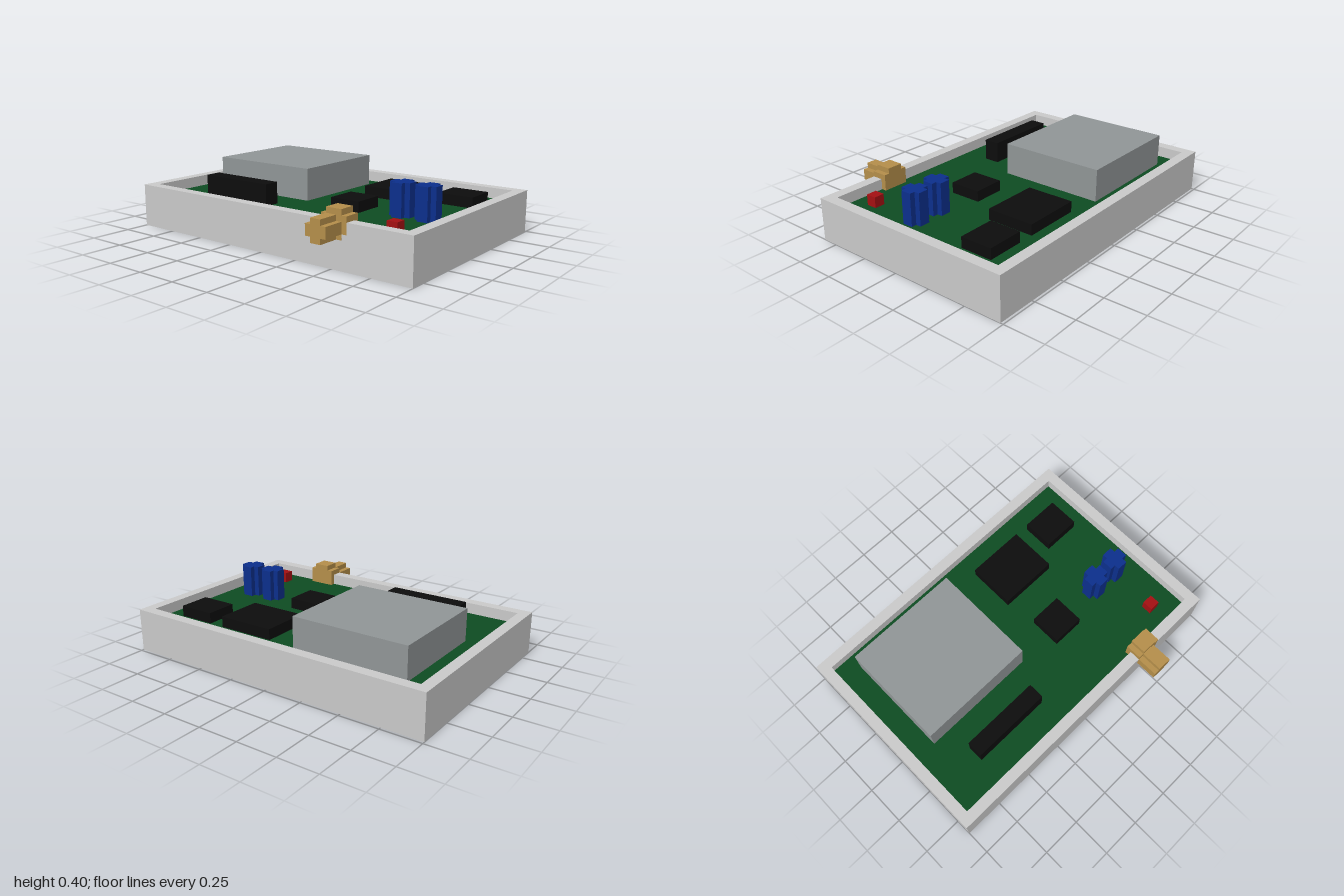
import * as THREE from 'three';

const U = 1 / 30; // one grid cell

const mat = (name, color) => {
  const m = new THREE.MeshStandardMaterial({ color });
  m.name = name;
  return m;
};

export function createModel() {
  const group = new THREE.Group();
  const casing = mat('light grey casing', 0xc9c9c9);
  const green = mat('board green', 0x0e4b22);
  const metal = mat('shield grey', 0x909596);
  const black = mat('chip black', 0x0d0d0d);
  const blue = mat('capacitor blue', 0x0c2f8c);
  const gold = mat('connector gold', 0xb48e4a);
  const red = mat('indicator red', 0xa31012);

  const add = (name, geometry, material) => {
    const mesh = new THREE.Mesh(geometry, material);
    mesh.name = name;
    group.add(mesh);
    return mesh;
  };

  // Box given by its opposite corners, in grid cells
  const box = (name, material, [x0, y0, z0], [x1, y1, z1]) => {
    const g = new THREE.BoxGeometry((x1 - x0) * U, (y1 - y0) * U, (z1 - z0) * U);
    g.translate((x0 + x1) / 2 * U, (y0 + y1) / 2 * U, (z0 + z1) / 2 * U);
    return add(name, g, material);
  };

  const shapeOf = pts => new THREE.Shape(pts.map(([x, y]) => new THREE.Vector2(x * U, y * U)));
  const rect = (x0, y0, x1, y1) => [[x0, y0], [x1, y0], [x1, y1], [x0, y1]];
  // Square with its corners notched by one cell: a blocky disc
  const disc = (x, y, s) => [
    [x + 1, y], [x + s - 1, y], [x + s - 1, y + 1], [x + s, y + 1],
    [x + s, y + s - 1], [x + s - 1, y + s - 1], [x + s - 1, y + s], [x + 1, y + s],
    [x + 1, y + s - 1], [x, y + s - 1], [x, y + 1], [x + 1, y + 1],
  ];
  const extrude = (shape, cells) =>
    new THREE.ExtrudeGeometry(shape, { depth: cells * U, bevelEnabled: false });
  // Extrude upwards: shape y becomes -z
  const extrudeUp = (shape, y0, y1) =>
    extrude(shape, y1 - y0).rotateX(-Math.PI / 2).translate(0, y0 * U, 0);

  // Open tray: four walls around a floor
  const walls = shapeOf(rect(-30, -18, 30, 22));
  walls.holes.push(shapeOf(rect(-28, -16, 28, 20)));
  add('trayWalls', extrudeUp(walls, 0, 8), casing);
  box('trayFloor', casing, [-28, 0, -20], [28, 5, 16]);

  // Circuit board and the parts standing on it
  box('circuitBoard', green, [-28, 5, -20], [28, 6, 16]);
  box('metalShield', metal, [-24, 6, -17], [-2, 12, 3]);
  box('largeChip', black, [4, 6, -16], [15, 8, -7]);
  box('cornerChip', black, [18, 6, -16], [25, 8, -10]);
  box('smallChip', black, [5, 6, -1], [11, 8, 5]);
  box('pinHeader', black, [-20, 6, 8], [-5, 10, 11]);
  box('indicatorLight', red, [22, 6, 11], [24, 8, 13]);

  // Pair of capacitors
  for (const x of [16, 21]) add('capacitor', extrudeUp(shapeOf(disc(x, -4, 4)), 6, 12), blue);

  // Antenna connector through the front wall: collar, then barrel
  add('connectorCollar', extrude(shapeOf(disc(13, 5, 5)), 3).translate(0, 0, 15.02 * U), gold);
  add('connectorBarrel', extrude(shapeOf(disc(13, 5, 4)), 4).translate(0, 0, 18 * U), gold);

  return group;
}
